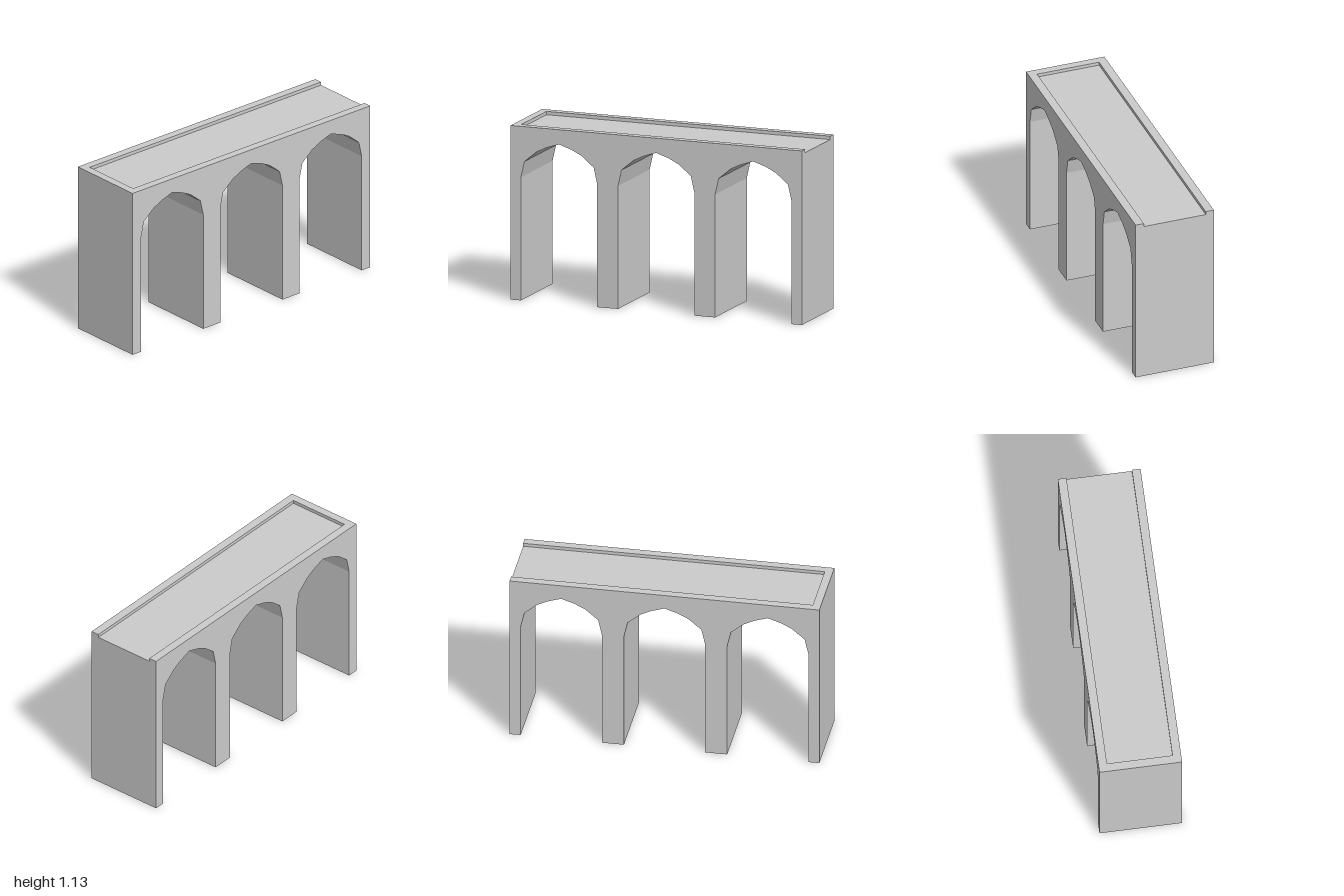
import * as THREE from 'three';

const HALF_W = 0.265, DECK_Y = 1.11, TOP_Y = 1.132;

// Half of one arch opening: [distance from its centre, height]
const ARCH = [[0.262, 0], [0.262, 0.8], [0.238, 0.905], [0.155, 0.974], [0.086, 1.008]];
const APEX = 1.036;

function polygon(points) {
  return new THREE.Shape(points.map(([x, y]) => new THREE.Vector2(x, y)));
}

export function createModel() {
  const group = new THREE.Group();
  group.name = 'archedBridge';
  const material = new THREE.MeshStandardMaterial({ color: 0xcccccc, flatShading: true });

  const add = (name, geometry) => {
    const mesh = new THREE.Mesh(geometry, material);
    mesh.name = name;
    group.add(mesh);
  };

  // Piers, arches and deck: one side profile extruded across the width
  const outline = [[1, 0], [1, DECK_Y], [-1, DECK_Y], [-1, 0]];
  for (const c of [-0.667, 0, 0.667]) {
    for (const [d, y] of ARCH) outline.push([c - d, y]);
    outline.push([c, APEX]);
    for (const [d, y] of [...ARCH].reverse()) outline.push([c + d, y]);
  }
  const body = new THREE.ExtrudeGeometry(polygon(outline), { depth: 2 * HALF_W, bevelEnabled: false });
  body.rotateY(-Math.PI / 2).translate(HALF_W, 0, 0);
  add('archedBody', body);

  // Low kerb around the deck, open at the back end
  const inX = 0.21, inZ = 0.948;
  const kerb = new THREE.ExtrudeGeometry(
    polygon([
      [-HALF_W, -1], [HALF_W, -1], [HALF_W, 1], [inX, 1],
      [inX, -inZ], [-inX, -inZ], [-inX, 1], [-HALF_W, 1],
    ]),
    { depth: TOP_Y - DECK_Y, bevelEnabled: false },
  );
  kerb.rotateX(-Math.PI / 2).translate(0, DECK_Y, 0);
  add('deckKerb', kerb);

  return group;
}
